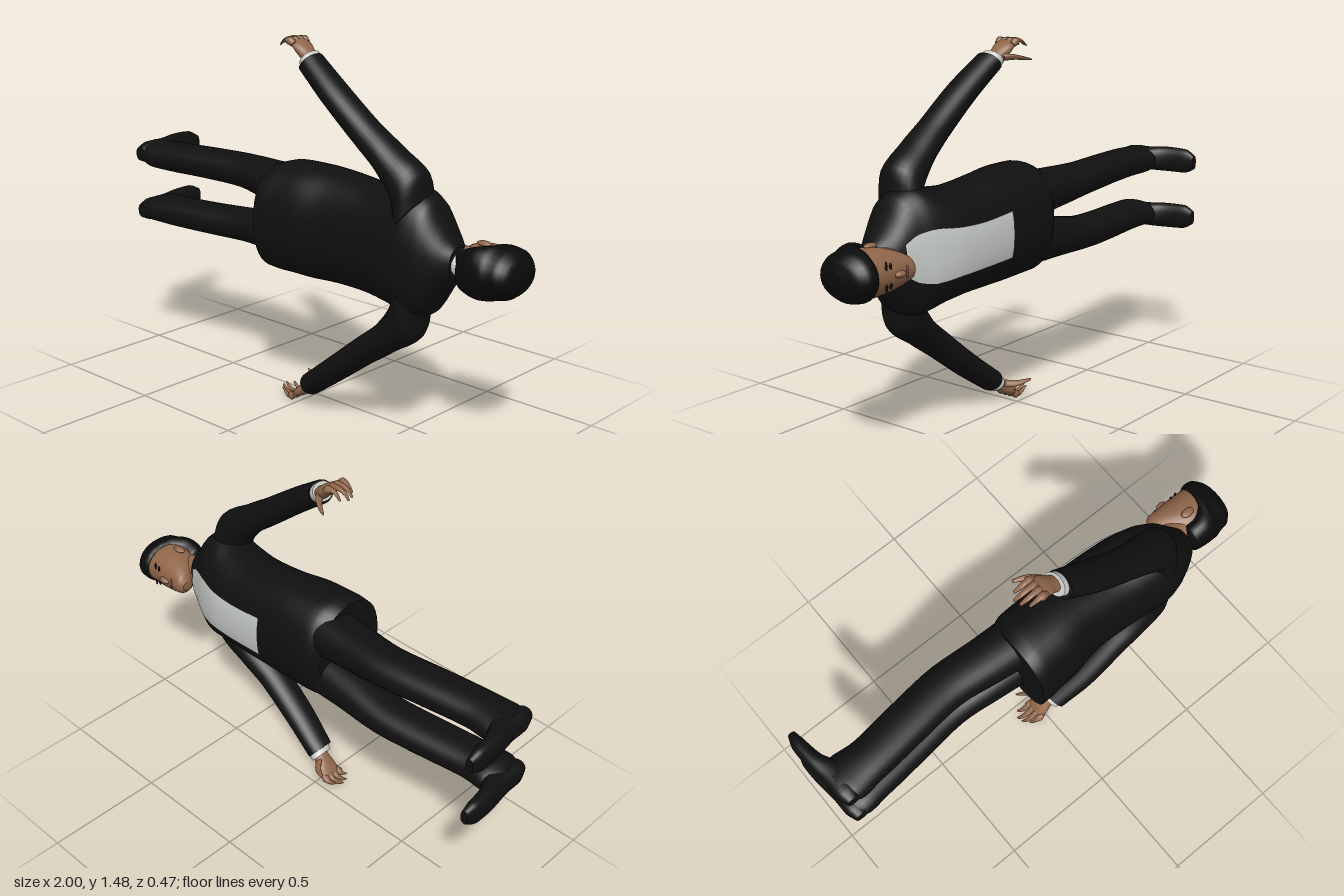
import * as THREE from 'three';

const mat = (name, color) => Object.assign(new THREE.MeshStandardMaterial({ color, side: THREE.DoubleSide }), { name });
const SUIT = mat('blackSuit', 0x101011);
const SHIRT = mat('whiteShirt', 0xc6cac6);
const SKIN = mat('skin', 0x8f6549);
const HAIR = mat('darkHair', 0x0a0a0a);
const LIPS = mat('lips', 0x704437);

const X = new THREE.Vector3(1, 0, 0);
const Y = new THREE.Vector3(0, 1, 0);
const Z = new THREE.Vector3(0, 0, 1);
const ARM_MID = 0.745, LEG_MID = 0.764;

// Smooth loft through rows of [x, y, z, halfU, halfV]; arc limits make an open strip.
function loft(rows, U, V, { power = 2, arc = [0, Math.PI * 2], segs = 28, steps = 4 } = {}) {
  const centres = new THREE.CatmullRomCurve3(rows.map(r => new THREE.Vector3(r[0], r[1], r[2])));
  const sizes = new THREE.CatmullRomCurve3(rows.map(r => new THREE.Vector3(r[3], r[4], 0)));
  const closed = arc[1] - arc[0] > 6.28;
  const cols = closed ? segs : segs + 1;
  const n = (rows.length - 1) * steps;
  const pos = [], idx = [];
  const soft = v => Math.sign(v) * Math.abs(v) ** (2 / power);
  for (let i = 0; i <= n; i++) {
    const c = centres.getPoint(i / n), s = sizes.getPoint(i / n);
    for (let j = 0; j < cols; j++) {
      const t = arc[0] + (arc[1] - arc[0]) * j / segs;
      const p = c.clone().addScaledVector(U, s.x * soft(Math.cos(t))).addScaledVector(V, s.y * soft(Math.sin(t)));
      pos.push(p.x, p.y, p.z);
    }
  }
  const along = centres.getPoint(1).sub(centres.getPoint(0));
  const flip = U.clone().cross(V).dot(along) < 0;
  const tri = (a, b, c) => flip ? idx.push(a, c, b) : idx.push(a, b, c);
  for (let i = 0; i < n; i++) for (let j = 0; j < segs; j++) {
    const k = (j + 1) % cols, a = i * cols, b = a + cols;
    tri(a + j, a + k, b + k);
    tri(a + j, b + k, b + j);
  }
  // End caps with their own vertices so the rims stay crisp
  if (closed) for (const end of [0, n]) {
    const base = pos.length / 3;
    for (let j = 0; j < cols * 3; j++) pos.push(pos[end * cols * 3 + j]);
    const c = centres.getPoint(end / n);
    pos.push(c.x, c.y, c.z);
    for (let j = 0; j < cols; j++) {
      const k = (j + 1) % cols;
      if (end) tri(base + j, base + k, base + cols);
      else tri(base + k, base + j, base + cols);
    }
  }
  const g = new THREE.BufferGeometry();
  g.setAttribute('position', new THREE.Float32BufferAttribute(pos, 3));
  g.setIndex(idx);
  g.computeVertexNormals();
  return g;
}

const flipRows = (rows, mid) => rows.map(([x, y, ...r]) => [x, 2 * mid - y, ...r]);

export function createModel() {
  const model = new THREE.Group();
  model.name = 'recliningManInSuit';
  const add = (name, geo, material, parent = model) => {
    const m = new THREE.Mesh(geo, material);
    m.name = name;
    parent.add(m);
    return m;
  };

  // Jacket body, from hem to collar
  const jacket = [
    [-0.12, 0.765, 0.07, 0.212, 0.165], [-0.06, 0.768, 0.052, 0.225, 0.18], [0.06, 0.767, 0.045, 0.226, 0.178],
    [0.2, 0.762, 0.033, 0.22, 0.163], [0.36, 0.752, 0.035, 0.212, 0.165], [0.48, 0.748, 0.045, 0.222, 0.165],
    [0.58, 0.745, 0.06, 0.245, 0.15], [0.65, 0.745, 0.068, 0.215, 0.125], [0.7, 0.745, 0.067, 0.135, 0.102],
    [0.735, 0.745, 0.068, 0.085, 0.078], [0.76, 0.745, 0.07, 0.06, 0.055],
  ];
  add('jacket', loft(jacket, Y, Z, { power: 2.3, segs: 40 }), SUIT);

  // Shirt front showing between the open jacket edges
  const front = jacket.slice(3, 9).map(([x, y, z, a, b]) => [x - 0.01, y, z, a + 0.007, b + 0.007]);
  add('shirtFront', loft(front, Y, Z, { power: 2.3, arc: [-Math.PI / 2 - 0.36, -Math.PI / 2 + 0.36], segs: 10 }), SHIRT);

  // Collar, tilted down towards the throat, and neck
  const tilt = new THREE.Vector3(0.66, 0, 0.75).normalize();
  add('collar', loft([[0.67, 0.745, 0.05, 0.074, 0.112], [0.705, 0.742, 0.024, 0.068, 0.102]], Y, tilt), SHIRT);
  add('neck', loft([[0.64, 0.745, 0.03, 0.06, 0.065], [0.74, 0.74, 0.022, 0.058, 0.062], [0.83, 0.73, 0.02, 0.064, 0.07]], Y, Z), SKIN);

  // Head
  const head = new THREE.Group();
  head.name = 'head';
  model.add(head);
  add('face', loft([
    [0.697, 0.73, -0.065, 0.02, 0.022], [0.715, 0.73, -0.056, 0.046, 0.048], [0.76, 0.73, -0.03, 0.07, 0.076],
    [0.82, 0.73, -0.008, 0.086, 0.1], [0.88, 0.73, 0, 0.09, 0.107], [0.94, 0.73, 0, 0.082, 0.1], [0.985, 0.73, 0, 0.045, 0.06],
  ], Y, Z), SKIN, head);
  add('hair', loft([
    [0.775, 0.73, 0.08, 0.05, 0.025], [0.79, 0.73, 0.075, 0.076, 0.053], [0.84, 0.73, 0.074, 0.095, 0.06],
    [0.88, 0.73, 0.05, 0.101, 0.086], [0.908, 0.73, 0.01, 0.101, 0.122], [0.95, 0.73, 0.004, 0.092, 0.12],
    [0.985, 0.73, 0.006, 0.064, 0.088], [1.0, 0.73, 0.008, 0.025, 0.035],
  ], Y, Z), HAIR, head);
  const ball = (name, p, s, material) => {
    const m = add(name, new THREE.SphereGeometry(1, 16, 12), material, head);
    m.position.set(...p);
    m.scale.set(...s);
  };
  ball('nose', [0.797, 0.73, -0.107], [0.026, 0.013, 0.017], SKIN);
  ball('mouth', [0.757, 0.73, -0.104], [0.007, 0.024, 0.005], LIPS);
  for (const s of [-1, 1]) {
    ball('ear', [0.825, 0.73 + s * 0.09, 0.008], [0.03, 0.01, 0.018], SKIN);
    ball('eye', [0.838, 0.73 + s * 0.034, -0.1], [0.006, 0.014, 0.004], HAIR);
    ball('eyebrow', [0.86, 0.73 + s * 0.036, -0.1], [0.005, 0.021, 0.004], HAIR);
  }

  // Arms with cuffs and hands
  const sleeve = [
    [0.06, 1.395, 0.093, 0.046, 0.06], [0.2, 1.292, 0.11, 0.051, 0.067], [0.36, 1.168, 0.113, 0.056, 0.069],
    [0.47, 1.085, 0.108, 0.062, 0.08], [0.56, 0.99, 0.1, 0.088, 0.092], [0.57, 0.88, 0.095, 0.1, 0.1],
  ];
  const cuff = [[0.075, 1.384, 0.09, 0.038, 0.05], [0.043, 1.409, 0.085, 0.038, 0.05]];
  const palm = [
    [0.06, 1.395, 0.082, 0.026, 0.034], [0.03, 1.416, 0.076, 0.025, 0.036],
    [0.0, 1.443, 0.072, 0.023, 0.046], [-0.03, 1.465, 0.072, 0.014, 0.044],
  ];
  for (const side of [1, -1]) {
    const arm = new THREE.Group();
    arm.name = side > 0 ? 'upperArm' : 'lowerArm';
    model.add(arm);
    const place = rows => side > 0 ? rows : flipRows(rows, ARM_MID);
    const across = new THREE.Vector3(0.6, 0.8 * side, 0);
    add('sleeve', loft(place(sleeve), across, Z), SUIT, arm);
    add('cuff', loft(place(cuff), across, Z), SHIRT, arm);
    add('palm', loft(place(palm), across, Z, { segs: 20 }), SKIN, arm);
    const digit = (name, rows) => add(name, loft(place(rows), across, Z, { segs: 10 }), SKIN, arm);
    for (let f = 0; f < 4; f++) {
      const z = 0.035 + f * 0.025, reach = [0.095, 0.115, 0.108, 0.085][f];
      digit('finger', [
        [-0.015, 1.457, z, 0.012, 0.012], [-0.045, 1.474, z, 0.012, 0.012],
        [-reach + 0.025, 1.47, z, 0.01, 0.01], [-reach, 1.452, z - 0.004, 0.005, 0.006],
      ]);
    }
    digit('thumb', [
      [0.03, 1.41, 0.055, 0.017, 0.02], [0.0, 1.413, 0.02, 0.015, 0.016],
      [-0.03, 1.408, -0.004, 0.011, 0.011], [-0.06, 1.402, -0.02, 0.006, 0.006],
    ]);
  }

  // Trouser legs and shoes
  const leg = [
    [-0.95, 0.892, 0.025, 0.05, 0.085], [-0.9, 0.885, 0.027, 0.058, 0.1], [-0.8, 0.885, 0.025, 0.062, 0.09],
    [-0.6, 0.885, 0.002, 0.064, 0.092], [-0.4, 0.88, -0.018, 0.068, 0.092], [-0.22, 0.867, -0.005, 0.083, 0.098],
    [0, 0.855, 0.01, 0.1, 0.11],
  ];
  const shoe = [
    [-0.94, 0.892, 0.118, 0.03, 0.028], [-0.94, 0.892, 0.07, 0.048, 0.045], [-0.938, 0.892, -0.02, 0.05, 0.05],
    [-0.962, 0.892, -0.1, 0.054, 0.035], [-0.971, 0.89, -0.19, 0.052, 0.028], [-0.968, 0.888, -0.235, 0.03, 0.016],
  ];
  for (const side of [1, -1]) {
    const place = rows => side > 0 ? rows : flipRows(rows, LEG_MID);
    add('trouserLeg', loft(place(leg), Y, Z, { power: 2.2 }), SUIT);
    add('shoe', loft(place(shoe), Y, X, { power: 2.4 }), SUIT);
  }
  return model;
}
